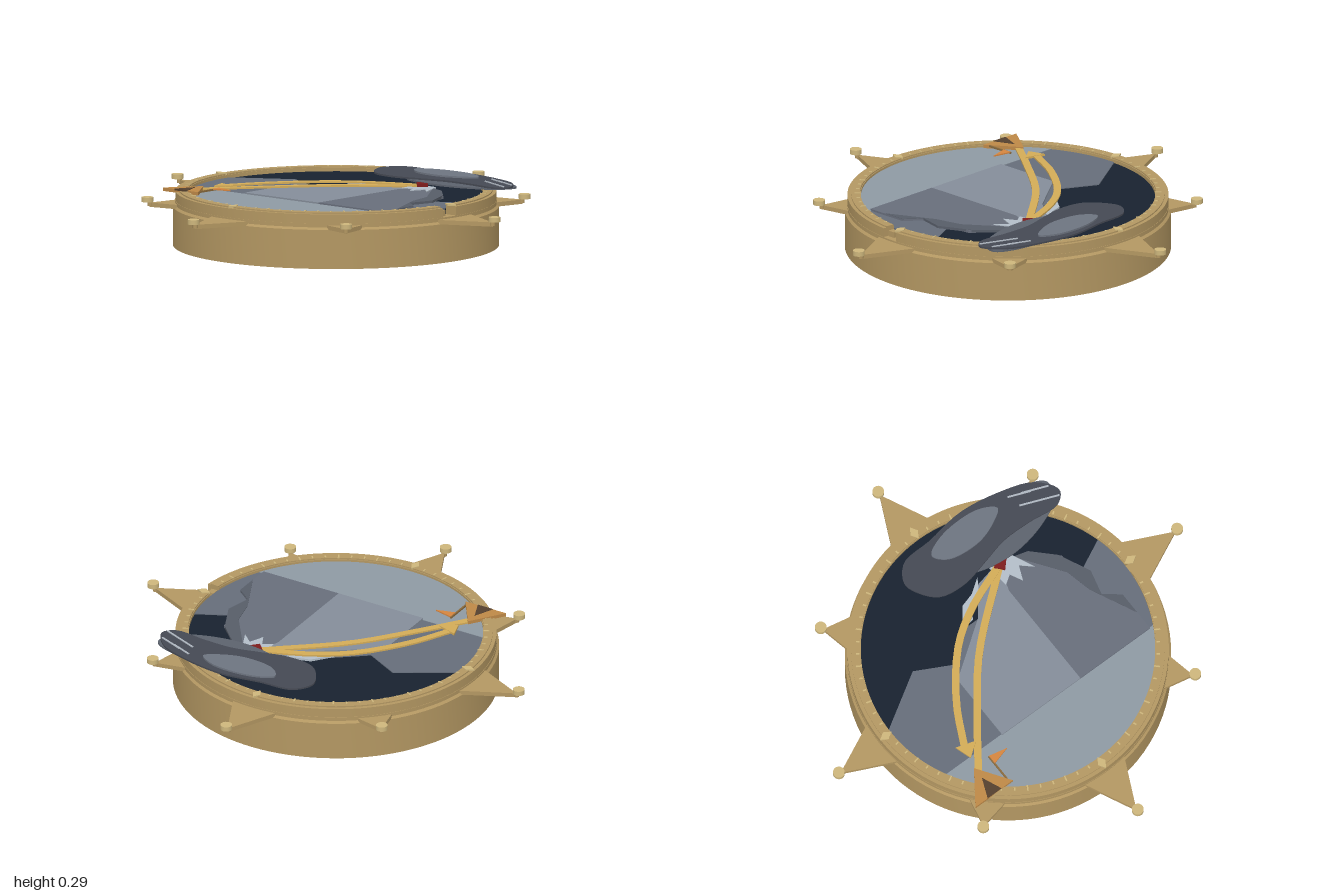
import * as THREE from 'three';
import { toCreasedNormals } from 'three/addons/utils/BufferGeometryUtils.js';

const BRASS = 0xb39762, PALE = 0xcdb67c, GOLD = 0xd3ab57;

function mat(color, side = THREE.FrontSide) {
  return new THREE.MeshStandardMaterial({ color, side });
}

function add(group, name, geo, color) {
  const mesh = new THREE.Mesh(geo, mat(color));
  mesh.name = name;
  group.add(mesh);
  return mesh;
}

// Flat plate: outline given as [x, z], reaching down from its top height
function plate(group, name, pts, top, depth, color) {
  const shape = new THREE.Shape(pts.map(([x, z]) => new THREE.Vector2(x, z)));
  const geo = new THREE.ExtrudeGeometry(shape, { depth, bevelEnabled: false });
  geo.rotateX(Math.PI / 2).translate(0, top, 0);
  return add(group, name, toCreasedNormals(geo, 0.5), color);
}

function arc(r, a0, a1, n = 40) {
  return Array.from({ length: n + 1 }, (_, i) => {
    const a = a0 + (a1 - a0) * i / n;
    return [r * Math.cos(a), r * Math.sin(a)];
  });
}

// Smooth closed outline through a few points
function blob(pts) {
  const c = new THREE.CatmullRomCurve3(pts.map(([x, z]) => new THREE.Vector3(x, 0, z)), true);
  return c.getPoints(64).slice(0, -1).map(p => [p.x, p.z]);
}

// Ribbon of constant width along a curve
function ribbon(pts, width) {
  const c = new THREE.CatmullRomCurve3(pts.map(([x, z]) => new THREE.Vector3(x, 0, z)));
  const a = [], b = [];
  for (let i = 0; i <= 14; i++) {
    const p = c.getPoint(i / 14), t = c.getTangent(i / 14), w = width / 2;
    a.push([p.x - t.z * w, p.z + t.x * w]);
    b.unshift([p.x + t.z * w, p.z - t.x * w]);
  }
  return [...a, ...b];
}

export function createModel() {
  const model = new THREE.Group();
  model.name = 'mountainCompass';

  // Round case with a stepped shoulder
  const profile = [[0, 0], [0.745, 0], [0.745, 0.18], [0.735, 0.19], [0.735, 0.208], [0, 0.208]];
  const body = new THREE.LatheGeometry(profile.map(p => new THREE.Vector2(...p)), 96);
  add(model, 'caseBody', toCreasedNormals(body, 0.5), BRASS);

  // Rim rings, open at one notch on the left side
  const g0 = 0.11, g1 = Math.PI * 2 - 0.005;
  const ring = (outer, inner) => [...arc(outer, g0, g1, 120), ...arc(inner, g1, g0, 120)];
  plate(model, 'rim', ring(0.733, 0.672), 0.25, 0.045, BRASS);
  plate(model, 'rimTop', ring(0.716, 0.676), 0.256, 0.008, BRASS);
  const block = add(model, 'notchBlock', new THREE.BoxGeometry(0.03, 0.03, 0.035), BRASS);
  block.position.set(0.69, 0.22, 0.055);

  // Graduation marks around the rim
  const ticks = new THREE.Group();
  ticks.name = 'graduations';
  for (let i = 0; i < 72; i++) {
    const a = i * Math.PI / 36, len = i % 3 ? 0.016 : 0.028;
    if (a > 0 && a < 0.11) continue;
    const t = add(ticks, 'tick', new THREE.BoxGeometry(len, 0.004, 0.007), PALE);
    t.position.set(Math.cos(a) * 0.687, 0.257, Math.sin(a) * 0.687);
    t.rotation.y = -a;
  }
  model.add(ticks);

  // Eight star points with a knob at each tip; the cardinals are longer
  for (let i = 0; i < 8; i++) {
    const cardinal = i % 2 === 0;
    const tip = cardinal ? 0.973 : 0.862, w = cardinal ? 0.125 : 0.1;
    const point = new THREE.Group();
    point.name = cardinal ? 'cardinalPoint' : 'diagonalPoint';
    plate(point, 'starPoint', [[0.70, -w], [tip - 0.01, 0], [0.70, w]], 0.2, 0.02, BRASS);
    const knob = add(point, 'tipKnob', new THREE.CylinderGeometry(0.027, 0.027, 0.022, 20), PALE);
    knob.position.set(tip, 0.215, 0);
    const neck = add(point, 'knobNeck', new THREE.CylinderGeometry(0.012, 0.012, 0.02, 10), BRASS);
    neck.position.set(tip - 0.012, 0.195, 0);
    if (cardinal) {
      plate(point, 'rimDiamond', [[0.67, 0], [0.703, -0.021], [0.736, 0], [0.703, 0.021]], 0.26, 0.008, PALE);
    }
    point.rotation.y = -i * Math.PI / 4;
    model.add(point);
  }

  // Layered scene inside the rim
  const scene = new THREE.Group();
  scene.name = 'mountainScene';
  model.add(scene);
  const R = 0.672, s = Math.asin(0.31 / R), PI = Math.PI;
  plate(scene, 'nightSky', arc(R, 0, PI * 2, 96).slice(0, -1), 0.234, 0.03, 0x18222f);
  plate(scene, 'leftRange', [...arc(R, PI - s, PI + 0.03, 12), [-0.41, -0.18], [-0.24, -0.09],
    [-0.1, -0.2], [0.1, -0.2], [0.1, 0.31]], 0.238, 0.01, 0x656d7a);
  plate(scene, 'rightRange', [...arc(R, -0.26, s, 16), [0.3, 0.31], [0.3, 0], [0.48, -0.09]],
    0.238, 0.01, 0x656d7a);
  plate(scene, 'snowField', arc(R, s, PI - s), 0.24, 0.01, 0x8e99a3);
  plate(scene, 'peakLightFace', [[-0.275, 0.315], [-0.275, -0.02], [-0.16, -0.1], [-0.02, -0.2],
    [0.08, -0.33], [0.22, -0.36], [0.175, -0.22], [0.175, 0.315]], 0.247, 0.014, 0x848d99);
  plate(scene, 'peakShadowFace', [[0.175, 0.315], [0.175, -0.22], [0.22, -0.36], [0.34, -0.32],
    [0.47, -0.21], [0.5, 0.05], [0.575, 0.11], [0.575, 0.315]], 0.247, 0.014, 0x686e7b);
  plate(scene, 'peakDarkRidge', [[0.29, -0.34], [0.36, -0.32], [0.46, -0.22], [0.53, -0.07],
    [0.5, 0.05], [0.575, 0.11], [0.575, 0.22], [0.47, 0.0], [0.44, -0.13]], 0.249, 0.012, 0x575d68);
  plate(scene, 'snowCap', [[0.17, -0.37], [0.28, -0.37], [0.34, -0.24], [0.285, -0.29], [0.255, -0.22],
    [0.225, -0.28], [0.18, -0.25]], 0.251, 0.01, 0xb3bec8);
  plate(scene, 'snowStreak', [[-0.11, -0.2], [-0.04, -0.29], [0.03, -0.31], [0.1, -0.36],
    [0.05, -0.28], [-0.02, -0.25], [-0.04, -0.21]], 0.251, 0.01, 0xb3bec8);

  // Climbing routes, up from the camp and back down with an arrow
  plate(scene, 'ascentRoute', ribbon([[-0.47, 0.39], [-0.33, 0.2], [-0.12, -0.06], [0.2, -0.33]], 0.034),
    0.256, 0.008, GOLD);
  plate(scene, 'descentRoute', ribbon([[0.2, -0.34], [-0.02, -0.25], [-0.18, -0.14], [-0.35, 0.07],
    [-0.45, 0.26]], 0.034), 0.259, 0.008, GOLD);
  plate(scene, 'descentArrow', [[-0.485, 0.24], [-0.39, 0.27], [-0.46, 0.32]], 0.261, 0.01, GOLD);
  plate(scene, 'summitMarker', [[0.22, -0.382], [0.255, -0.345], [0.22, -0.308], [0.185, -0.345]],
    0.268, 0.016, 0x7d1d1d);

  // Camp tent and flag
  plate(scene, 'tent', [[-0.48, 0.37], [-0.375, 0.525], [-0.59, 0.525]], 0.262, 0.016, 0xbd8847);
  plate(scene, 'tentDoor', [[-0.48, 0.43], [-0.44, 0.525], [-0.52, 0.525]], 0.264, 0.008, 0x54402e);
  plate(scene, 'flagPole', [[-0.395, 0.365], [-0.387, 0.365], [-0.387, 0.5], [-0.395, 0.5]], 0.262, 0.008, 0x8a6a3c);
  plate(scene, 'flag', [[-0.39, 0.365], [-0.3, 0.385], [-0.39, 0.41]], 0.264, 0.006, 0xd5853f);

  // Storm cloud drifting over the rim
  const cloud = new THREE.Group();
  cloud.name = 'stormCloud';
  model.add(cloud);
  plate(cloud, 'cloudUnderside', blob([[0.08, -0.4], [0.25, -0.56], [0.48, -0.59], [0.63, -0.53],
    [0.6, -0.44], [0.49, -0.38], [0.32, -0.345], [0.16, -0.36]]), 0.27, 0.008, 0x5c626d);
  plate(cloud, 'cloudBody', blob([[-0.19, -0.53], [-0.13, -0.61], [0.03, -0.625], [0.22, -0.65],
    [0.42, -0.62], [0.58, -0.56], [0.65, -0.46], [0.6, -0.41], [0.45, -0.42], [0.3, -0.42],
    [0.17, -0.39], [0.03, -0.36], [-0.1, -0.38], [-0.17, -0.46]]), 0.278, 0.008, 0x454953);
  plate(cloud, 'cloudHighlight', blob([[-0.01, -0.56], [0.09, -0.61], [0.29, -0.61], [0.37, -0.56],
    [0.32, -0.52], [0.2, -0.48], [0.04, -0.5]]), 0.286, 0.008, 0x6d7480);
  for (const [x, z, len] of [[0.49, -0.555, 0.11], [0.545, -0.475, 0.19], [0.56, -0.53, 0.13]]) {
    const gust = add(cloud, 'windStreak', new THREE.BoxGeometry(len, 0.004, 0.008), 0xaeb6c0);
    gust.position.set(x, 0.28, z);
    gust.rotation.y = -0.38;
  }
  return model;
}
